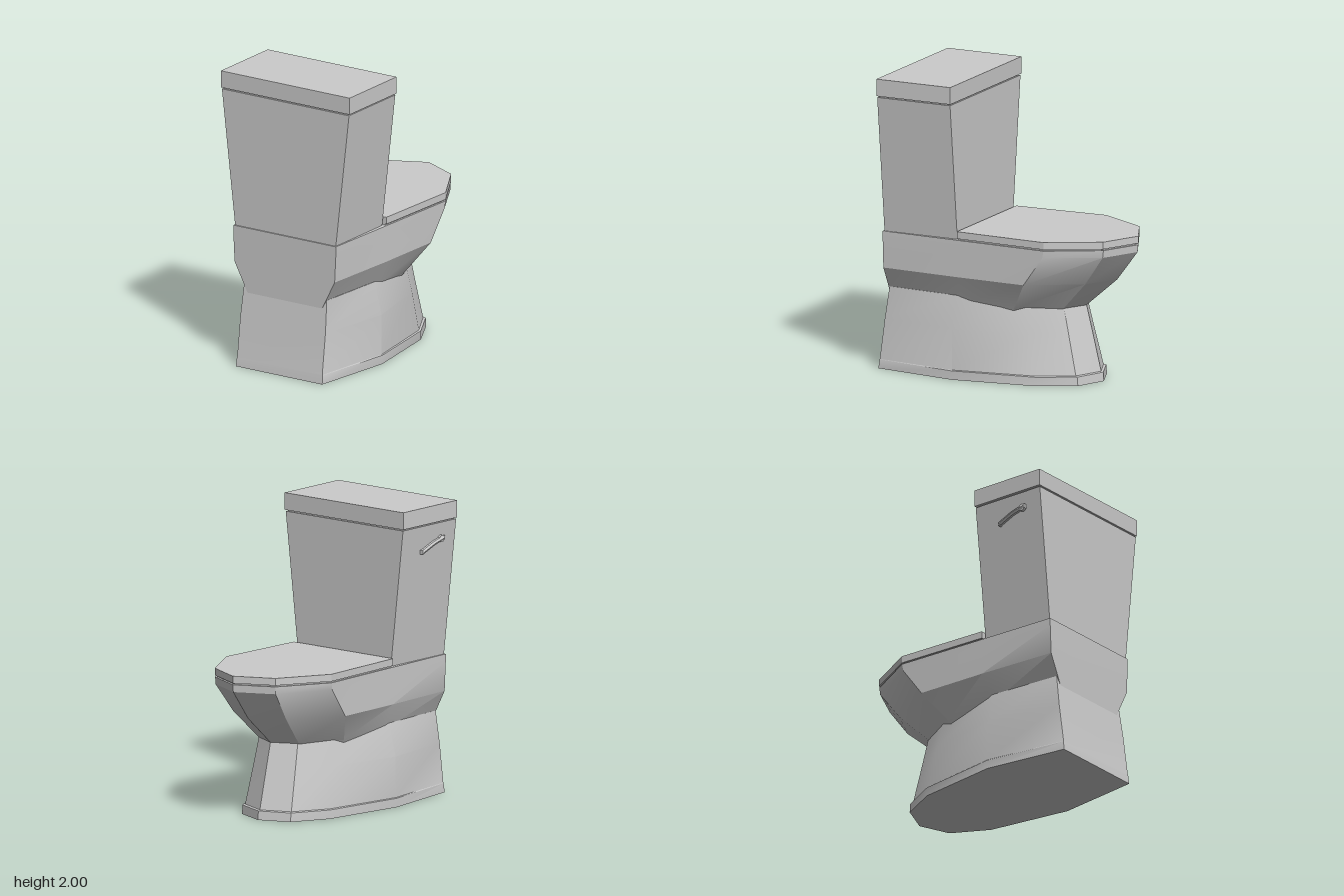
import * as THREE from 'three';
import { toCreasedNormals } from 'three/addons/utils/BufferGeometryUtils.js';

const material = new THREE.MeshStandardMaterial({ color: 0xcccccc });

// Closed solid through horizontal rings [y, [[x, z], ...]], each a half outline
// on +x running from the tank end to the tip and mirrored to -x.
function loft(name, rings) {
  const pos = [], index = [];
  let n = 0;
  for (const [y, half] of rings) {
    const mirrored = half.filter(([x]) => x > 0).map(([x, z]) => [-x, z]).reverse();
    const ring = [...half, ...mirrored];
    n = ring.length;
    ring.forEach(([x, z]) => pos.push(x, y, z));
  }
  for (let r = 0; r < rings.length - 1; r++) {
    for (let i = 0; i < n; i++) {
      const j = (i + 1) % n, b = r * n, t = b + n;
      index.push(b + i, b + j, t + j, b + i, t + j, t + i);
    }
  }
  const top = (rings.length - 1) * n;
  for (let i = 1; i < n - 1; i++) {
    index.push(0, i + 1, i, top, top + i, top + i + 1);
  }
  const geometry = new THREE.BufferGeometry();
  geometry.setAttribute('position', new THREE.Float32BufferAttribute(pos, 3));
  geometry.setIndex(index);
  const mesh = new THREE.Mesh(toCreasedNormals(geometry, 0.4), material);
  mesh.name = name;
  return mesh;
}

const rect = (halfWidth, zBack, zFront) => [[halfWidth, zBack], [halfWidth, zFront]];

// Flush lever on the -x wall of the tank
function createHandle() {
  const handle = new THREE.Group();
  handle.name = 'flushHandle';
  const pivot = new THREE.Mesh(new THREE.CylinderGeometry(0.025, 0.025, 0.04, 8), material);
  pivot.name = 'handlePivot';
  pivot.rotation.z = Math.PI / 2;
  pivot.position.set(-0.495, 1.765, 0.65);
  const path = new THREE.CurvePath();
  const points = [[-0.507, 1.77, 0.67], [-0.507, 1.745, 0.57], [-0.502, 1.7, 0.46]]
    .map((p) => new THREE.Vector3(...p));
  path.add(new THREE.LineCurve3(points[0], points[1]));
  path.add(new THREE.LineCurve3(points[1], points[2]));
  const lever = new THREE.Mesh(
    toCreasedNormals(new THREE.TubeGeometry(path, 6, 0.016, 6), 0.4), material);
  lever.name = 'handleLever';
  handle.add(pivot, lever);
  // End caps of the lever
  for (const p of [points[0], points[2]]) {
    const cap = new THREE.Mesh(new THREE.BoxGeometry(0.024, 0.028, 0.012), material);
    cap.name = 'leverEnd';
    cap.position.copy(p);
    handle.add(cap);
  }
  return handle;
}

export function createModel() {
  const model = new THREE.Group();
  model.name = 'toilet';

  // Pedestal with a small lip around the foot
  const foot = [[0.345, 0.875], [0.425, 0.29], [0.34, -0.285], [0.21, -0.535], [0, -0.62]];
  model.add(loft('pedestal', [
    [0, foot],
    [0.06, [[0.342, 0.868], [0.425, 0.29], [0.34, -0.285], [0.21, -0.53], [0, -0.615]]],
    [0.065, [[0.34, 0.867], [0.42, 0.29], [0.33, -0.275], [0.2, -0.515], [0, -0.6]]],
    [0.34, [[0.34, 0.83], [0.418, 0.29], [0.31, -0.225], [0.18, -0.45], [0, -0.533]]],
    [0.56, [[0.33, 0.8], [0.365, 0.29], [0.285, -0.18], [0.165, -0.4], [0, -0.478]]],
  ]));

  // Bowl, wide at the rim and sinking into the pedestal
  model.add(loft('bowl', [
    [0.465, [[0.28, 0.808], [0.325, 0.25], [0.3, -0.1], [0.16, -0.38], [0, -0.45]]],
    [0.505, [[0.3, 0.808], [0.34, 0.25], [0.32, -0.12], [0.175, -0.41], [0, -0.495]]],
    [0.7, [[0.4, 0.81], [0.43, 0.25], [0.443, -0.25], [0.23, -0.6], [0, -0.72]]],
    [0.9, [[0.41, 0.81], [0.43, 0.25], [0.453, -0.395], [0.26, -0.745], [0, -0.87]]],
    [0.95, [[0.41, 0.81], [0.43, 0.25], [0.455, -0.405], [0.26, -0.75], [0, -0.875]]],
  ]));

  // Seat cover resting on a slightly inset spacer
  const cover = [[0.43, 0.25], [0.455, -0.405], [0.263, -0.75], [0, -0.875]];
  const inset = cover.map(([x, z]) => [x * 0.97, z * 0.98]);
  model.add(loft('seatSpacer', [[0.945, inset], [0.965, inset]]));
  model.add(loft('seatCover', [[0.96, cover], [1.008, cover]]));

  // Tapered tank and its lid, with a shadow gap between them
  model.add(loft('tank', [
    [0.945, rect(0.402, 0.8, 0.26)],
    [1.875, rect(0.508, 0.8, 0.26)],
  ]));
  model.add(loft('tankGap', [
    [1.87, rect(0.495, 0.79, 0.27)],
    [1.89, rect(0.495, 0.79, 0.27)],
  ]));
  model.add(loft('tankLid', [
    [1.885, rect(0.515, 0.803, 0.255)],
    [2, rect(0.515, 0.803, 0.255)],
  ]));

  model.add(createHandle());
  return model;
}
